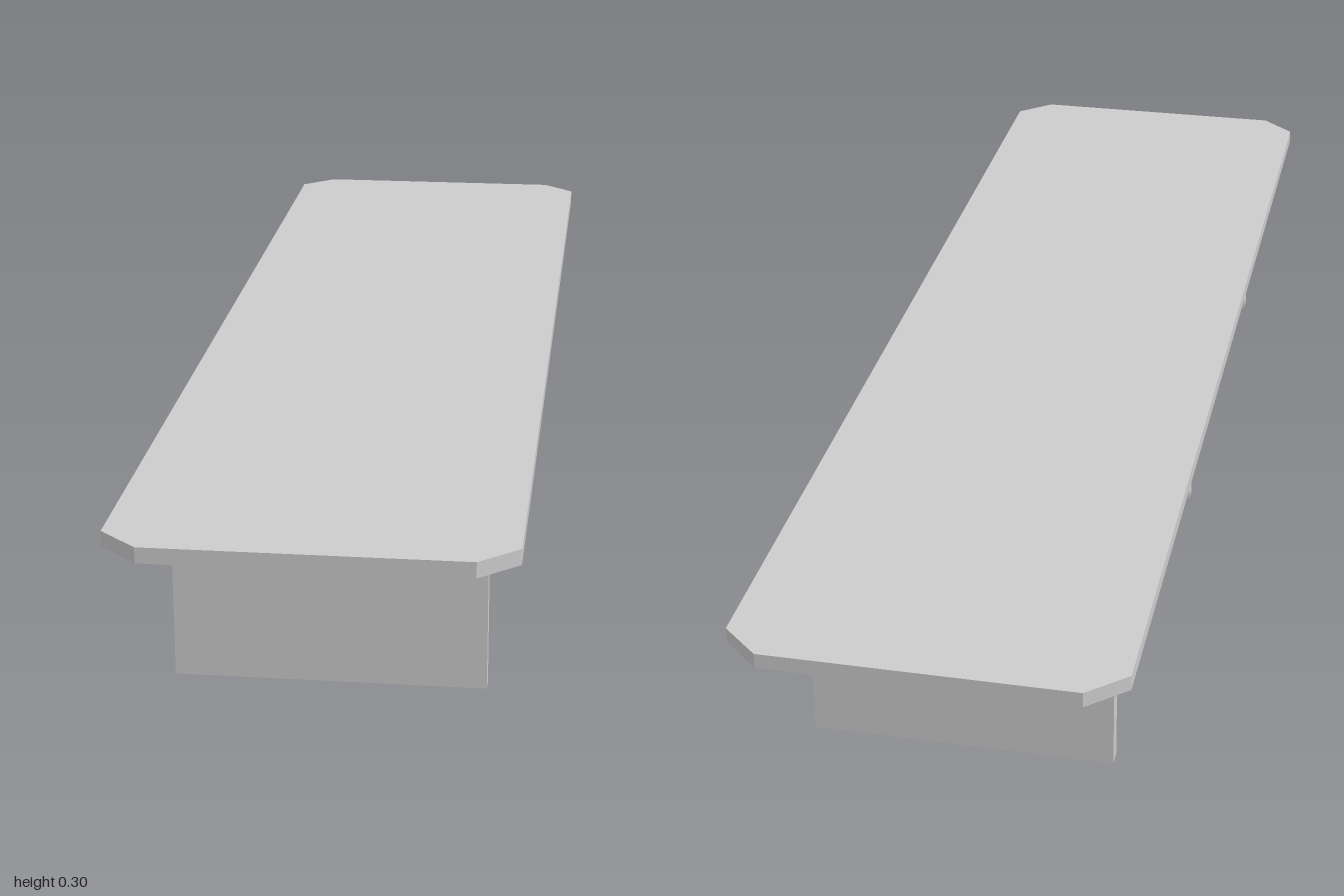
import * as THREE from 'three';

export function createModel() {
  const group = new THREE.Group();
  const material = new THREE.MeshStandardMaterial({ color: 0xcccccc, flatShading: true });
  const height = 0.3, topThickness = 0.023, board = 0.024;
  const underside = height - topThickness;

  const add = (name, geometry, x, y, z) => {
    const mesh = new THREE.Mesh(geometry, material);
    mesh.name = name;
    mesh.position.set(x, y, z);
    group.add(mesh);
    return mesh;
  };

  // Table top with cut corners
  const w = 0.281, l = 1, cx = 0.225, cz = 0.95;
  const outline = new THREE.Shape([
    [cx, -l], [w, -cz], [w, cz], [cx, l], [-cx, l], [-w, cz], [-w, -cz], [-cx, -l],
  ].map(([x, y]) => new THREE.Vector2(x, y)));
  const top = new THREE.ExtrudeGeometry(outline, { depth: topThickness, bevelEnabled: false });
  top.rotateX(-Math.PI / 2);
  add('tableTop', top, 0, underside, 0);

  // Three panel legs
  const legZ = 0.75;
  for (const [name, z] of [['frontLeg', legZ], ['middleLeg', 0], ['backLeg', -legZ]]) {
    add(name, new THREE.BoxGeometry(0.452, underside, board), 0, underside / 2, z);
  }

  // Stretcher boards between the legs, tight under the top
  const drop = 0.122;
  for (const [name, side] of [['frontStretcher', 1], ['backStretcher', -1]]) {
    add(name, new THREE.BoxGeometry(board, drop, legZ - board), 0, underside - drop / 2, side * legZ / 2);
  }

  return group;
}
